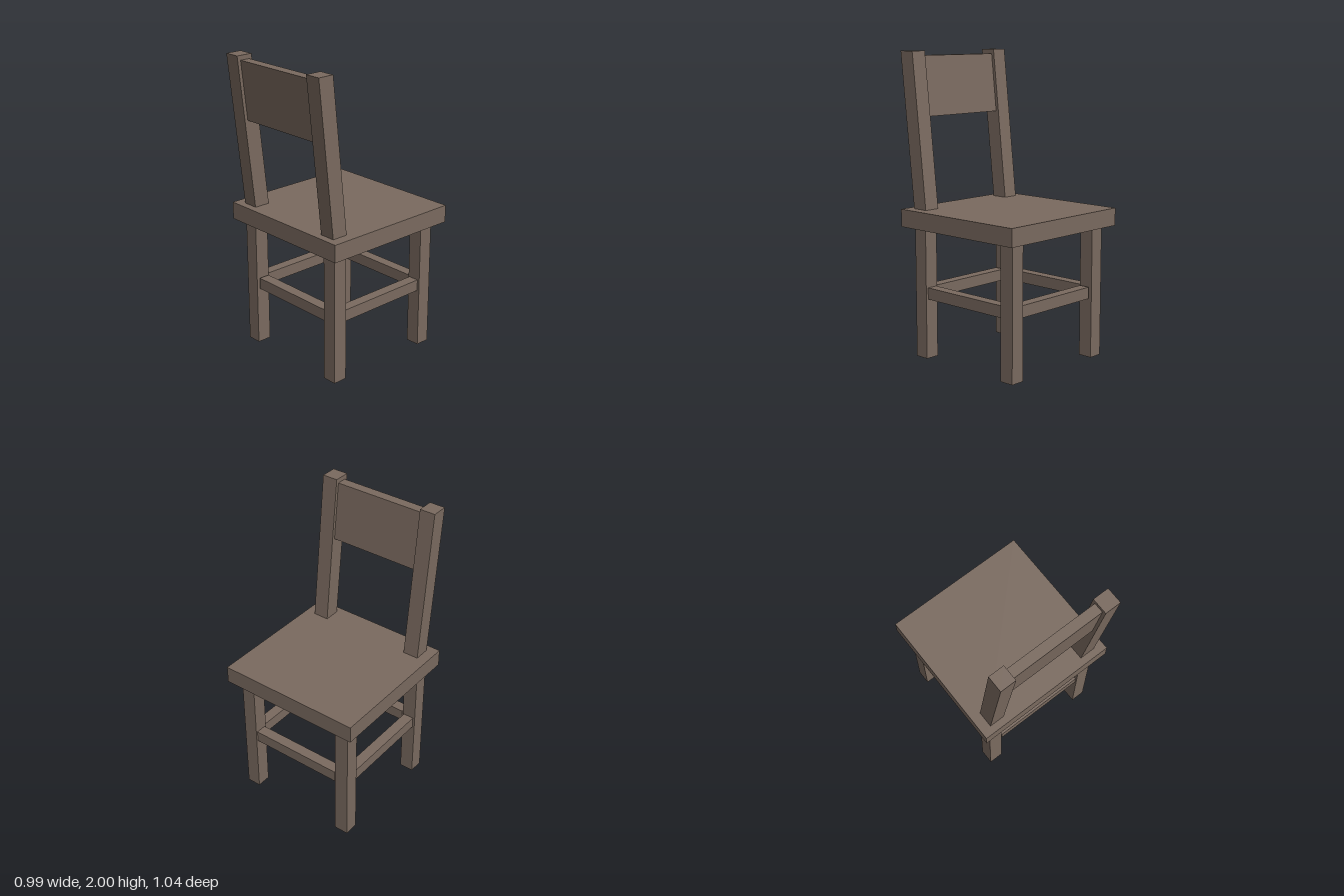
import * as THREE from 'three';

const wood = new THREE.MeshStandardMaterial({ color: 0x7a6a5f, flatShading: true });

// Box given by its extents; lean shifts z per unit of height above the base
function block(name, [x0, x1], [y0, y1], [z0, z1], lean = 0) {
  const geo = new THREE.BoxGeometry(x1 - x0, y1 - y0, z1 - z0);
  geo.translate((x0 + x1) / 2, (y0 + y1) / 2, (z0 + z1) / 2);
  const p = geo.attributes.position;
  for (let i = 0; i < p.count; i++) p.setZ(i, p.getZ(i) + lean * (p.getY(i) - y0));
  geo.computeVertexNormals();
  const mesh = new THREE.Mesh(geo, wood);
  mesh.name = name;
  return mesh;
}

export function createModel() {
  const chair = new THREE.Group();
  chair.name = 'chair';

  chair.add(block('seat', [-0.495, 0.493], [0.872, 0.988], [-0.52, 0.459]));

  // Four square legs
  const legX = { right: [-0.43, -0.333], left: [0.328, 0.424] };
  const legZ = { Rear: [0.304, 0.402], Front: [-0.46, -0.363] };
  for (const [side, x] of Object.entries(legX))
    for (const [end, z] of Object.entries(legZ))
      chair.add(block(`${side}${end}Leg`, x, [0, 0.873], z));

  // Stretchers between the legs, slightly narrower than them
  const rungY = [0.4, 0.477], inset = 0.012;
  const narrow = ([a, b]) => [a + inset, b - inset];
  for (const [side, x] of Object.entries(legX))
    chair.add(block(`${side}Stretcher`, narrow(x), rungY, [-0.358, 0.299]));
  for (const [end, z] of Object.entries(legZ))
    chair.add(block(`cross${end}Stretcher`, [-0.319, 0.328], rungY, narrow(z)));

  // Leaning back posts and the panel between them
  const lean = 0.108;
  chair.add(block('rightBackPost', [-0.425, -0.318], [0.987, 2], [0.3, 0.41], lean));
  chair.add(block('leftBackPost', [0.315, 0.423], [0.987, 2], [0.3, 0.41], lean));
  chair.add(block('backPanel', [-0.318, 0.315], [1.58, 1.97], [0.385, 0.452], lean));

  return chair;
}
